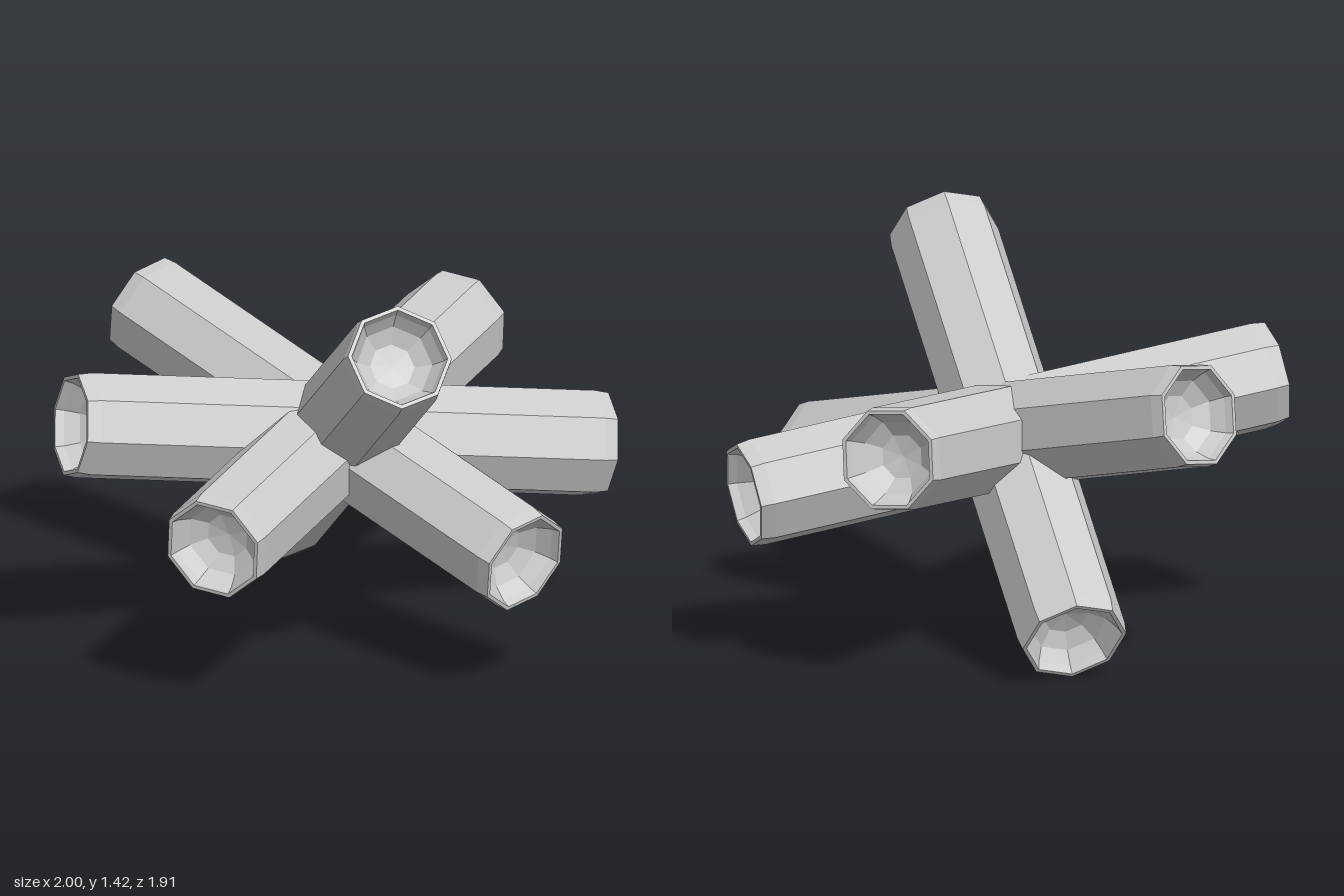
import * as THREE from 'three';

const HALF = 0.985;   // half length of each tube
const CENTRE_Y = 0.713;

// One end of a tube: [radius, distance along the axis], from dish centre out to the body
const endProfile = [
  [0, HALF - 0.13],
  [0.08, HALF - 0.118],
  [0.135, HALF - 0.08],
  [0.163, HALF - 0.03],
  [0.172, HALF],
  [0.186, HALF],
  [0.193, HALF - 0.05],
];

// Direction of one end of each tube, and its roll about that direction in degrees
const tubes = [
  { name: 'sideTube', dir: [0.972, -0.143, 0], roll: 0 },
  { name: 'risingTube', dir: [-0.035, 0.56, 0.81], roll: 7 },
  { name: 'backLeftTube', dir: [0.685, 0.115, -0.697], roll: 17 },
  { name: 'frontLeftTube', dir: [0.405, -0.23, 0.868], roll: 14 },
];

// Eight-sided tube with a rounded dish sunk in both ends
function makeTube({ name, dir, roll }, material) {
  const bottom = endProfile.map(([r, y]) => new THREE.Vector2(r, -y));
  const top = endProfile.map(([r, y]) => new THREE.Vector2(r, y)).reverse();
  const geometry = new THREE.LatheGeometry(
    [...bottom, ...top], 8, -THREE.MathUtils.degToRad(roll), Math.PI * 2);

  // Lay the tube along its direction with a corner facing upward
  const axis = new THREE.Vector3(...dir).normalize();
  const up = new THREE.Vector3(0, 1, 0).addScaledVector(axis, -axis.y).normalize();
  const side = new THREE.Vector3().crossVectors(axis, up);
  const mesh = new THREE.Mesh(geometry, material);
  mesh.name = name;
  mesh.quaternion.setFromRotationMatrix(new THREE.Matrix4().makeBasis(side, axis, up));
  mesh.position.y = CENTRE_Y;
  return mesh;
}

export function createModel() {
  const group = new THREE.Group();
  group.name = 'crossedTubes';
  const material = new THREE.MeshStandardMaterial({ color: 0xcccccc, flatShading: true });
  for (const tube of tubes) group.add(makeTube(tube, material));
  return group;
}
